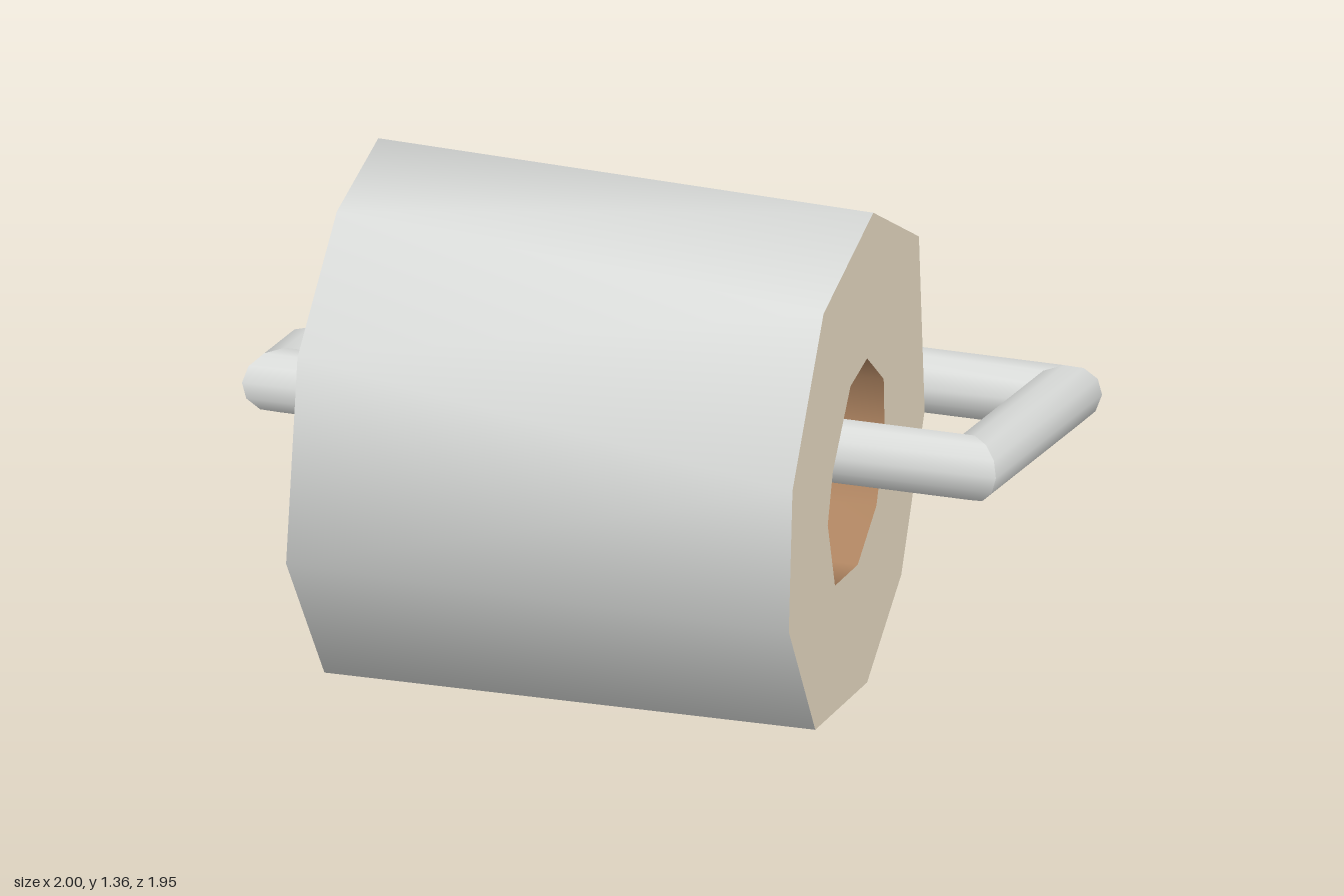
import * as THREE from 'three';

const lightGrey = new THREE.MeshStandardMaterial({ name: 'lightGrey', color: 0xdcdedc });
const paperEdge = new THREE.MeshStandardMaterial({ name: 'paperEdgeBeige', color: 0xe2d6bf });
const cardboard = new THREE.MeshStandardMaterial({ name: 'cardboardBrown', color: 0xb28763, side: THREE.DoubleSide });

// Open wall between two rings of equal point count, smooth around the ring.
// Each quad is split along its shorter diagonal, so twisted walls stay convex.
function loft(a, b) {
  const n = a.length, index = [];
  for (let i = 0; i < n; i++) {
    const j = (i + 1) % n;
    if (a[i].distanceTo(b[j]) <= b[i].distanceTo(a[j])) index.push(i, n + i, n + j, i, n + j, j);
    else index.push(i, n + i, j, n + i, n + j, j);
  }
  const g = new THREE.BufferGeometry().setFromPoints([...a, ...b]);
  g.setIndex(index);
  g.computeVertexNormals();
  return g;
}

function add(parent, name, geometry, material) {
  const mesh = new THREE.Mesh(geometry, material);
  mesh.name = name;
  parent.add(mesh);
  return mesh;
}

// Rolled paper: outlines are [z, y] pairs at each end
function makeRoll() {
  const roll = new THREE.Group();
  roll.name = 'paperRoll';
  const ring = (x, pts) => pts.map(([z, y]) => new THREE.Vector3(x, y, z));
  const leftRim = ring(0.655, [[0.16, 1.36], [0.64, 1.31], [0.94, 0.95], [0.975, 0.56], [0.72, 0.15],
    [0.22, 0.035], [-0.11, 0.18], [-0.335, 0.54], [-0.28, 1.07]]);
  const rightRim = ring(-0.68, [[0.08, 1.35], [0.48, 1.34], [0.86, 1.11], [0.97, 0.57], [0.6, 0.07],
    [0.0, 0.1], [-0.3, 0.46], [-0.33, 0.73], [-0.31, 0.98]]);
  const leftHole = ring(0.655, [[0.22, 0.97], [0.38, 0.97], [0.55, 0.81], [0.6, 0.68], [0.53, 0.47],
    [0.31, 0.42], [0.13, 0.5], [0.05, 0.66], [0.06, 0.83]]);
  const rightHole = ring(-0.68, [[0.24, 0.98], [0.4, 0.97], [0.54, 0.84], [0.545, 0.62], [0.52, 0.46],
    [0.33, 0.43], [0.13, 0.48], [0.04, 0.66], [0.07, 0.85]]);

  add(roll, 'paperSide', loft(leftRim, rightRim), lightGrey);
  add(roll, 'cardboardCore', loft(leftHole, rightHole), cardboard);
  add(roll, 'leftEnd', loft(leftHole, leftRim), paperEdge);
  add(roll, 'rightEnd', loft(rightRim, rightHole), paperEdge);
  return roll;
}

// Bent rod with mitred corners, laid out in a tilted plane
function makeRod() {
  const rod = new THREE.Group();
  rod.name = 'bentRod';
  const r = 0.085, sides = 12;
  const path = [[-0.26, -0.89], [0.915, -0.89], [0.915, 0], [-0.915, 0], [-0.915, -0.26]]
    .map(([x, z]) => new THREE.Vector2(x, z));
  const normals = path.slice(1).map((p, i) => {
    const t = p.clone().sub(path[i]).normalize();
    return new THREE.Vector2(-t.y, t.x);
  });
  const rings = path.map((p, i) => {
    const n0 = normals[Math.max(i - 1, 0)], n1 = normals[Math.min(i, normals.length - 1)];
    const mitre = n0.clone().add(n1).divideScalar(1 + n0.dot(n1));
    return Array.from({ length: sides }, (_, k) => {
      const a = k / sides * Math.PI * 2, c = r * Math.cos(a);
      return new THREE.Vector3(p.x + mitre.x * c, r * Math.sin(a), p.y + mitre.y * c);
    });
  });
  ['backBar', 'sideArm', 'rollBar', 'hook'].forEach((name, i) =>
    add(rod, name, loft(rings[i], rings[i + 1]), lightGrey));

  // Closed rod tips
  for (const [name, p, turn] of [['backBarTip', path[0], -Math.PI / 2], ['hookTip', path[4], Math.PI]]) {
    const tip = add(rod, name, new THREE.CircleGeometry(r, sides), lightGrey);
    tip.position.set(p.x, 0, p.y);
    tip.rotation.y = turn;
  }
  rod.position.set(0, 0.655, 0.15);
  rod.rotation.x = -0.261;
  return rod;
}

export function createModel() {
  const model = new THREE.Group();
  model.name = 'paperRollHolder';
  model.add(makeRoll(), makeRod());

  // Round mount and its stem
  const base = add(model, 'mountBase', new THREE.CylinderGeometry(0.262, 0.267, 0.15, 20), lightGrey);
  base.position.set(0.003, 0.075, -0.71);
  const stem = add(model, 'mountStem', new THREE.CylinderGeometry(0.075, 0.083, 0.28, 12), lightGrey);
  stem.position.set(0.003, 0.285, -0.705);
  return model;
}
